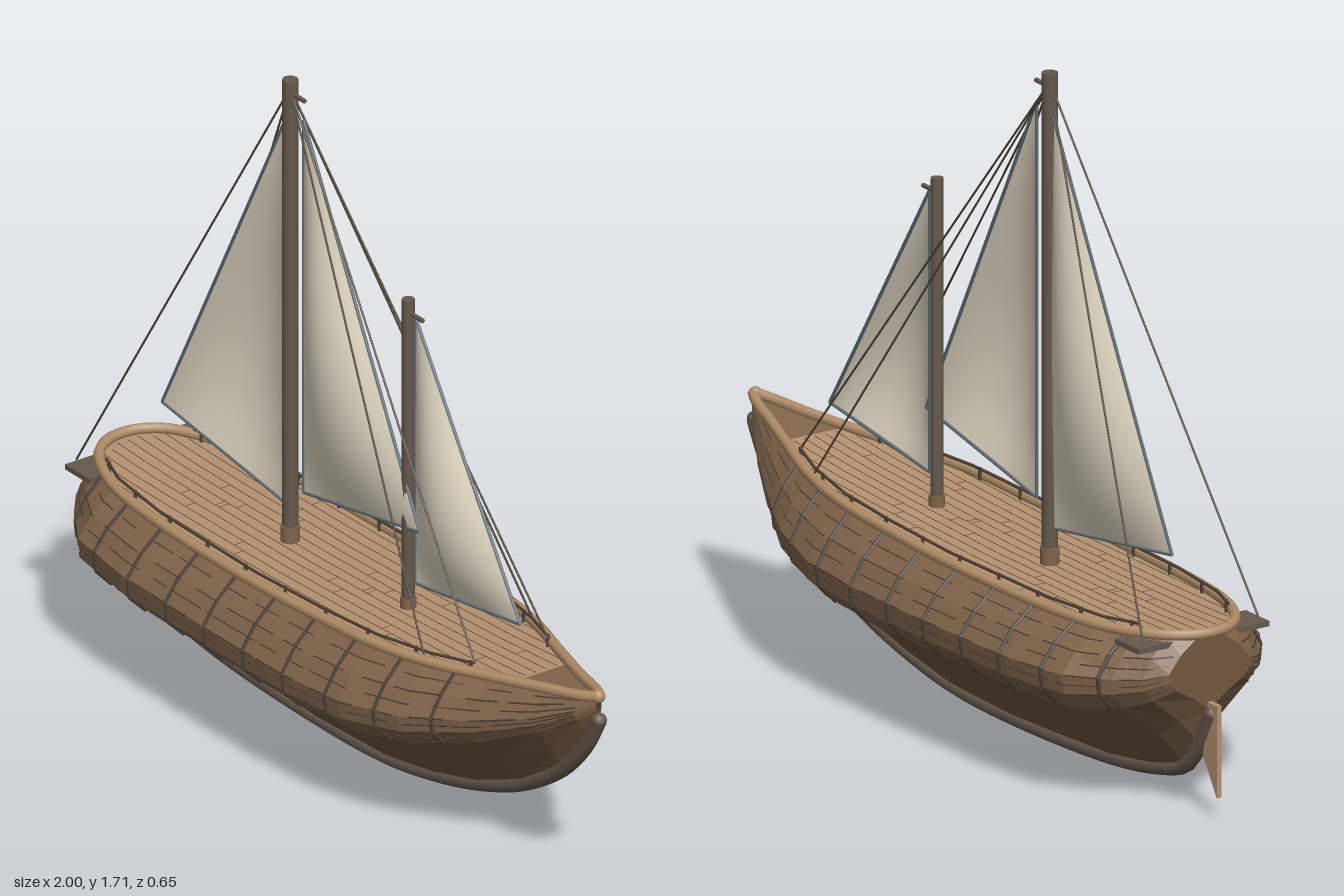
import * as THREE from 'three';
import { mergeGeometries } from 'three/addons/utils/BufferGeometryUtils.js';

const V = (x, y, z) => new THREE.Vector3(x, y, z);
const mat = (name, color, side = THREE.FrontSide) => {
  const m = new THREE.MeshStandardMaterial({ color, side });
  m.name = name;
  return m;
};

// Hull stations: x, keel y, colour line y, widest y, sheer y, widest half width, deck half width
const STATIONS = [
  [-0.96, 0.27, 0.335, 0.38, 0.465, 0.12, 0.03],
  [-0.92, 0.17, 0.305, 0.365, 0.465, 0.17, 0.10],
  [-0.86, 0.10, 0.28, 0.36, 0.463, 0.22, 0.14],
  [-0.75, 0.065, 0.255, 0.355, 0.46, 0.29, 0.18],
  [-0.55, 0.035, 0.25, 0.35, 0.46, 0.315, 0.205],
  [-0.15, 0.02, 0.25, 0.35, 0.465, 0.32, 0.215],
  [0.12, 0.03, 0.25, 0.35, 0.475, 0.315, 0.21],
  [0.32, 0.065, 0.26, 0.355, 0.485, 0.30, 0.20],
  [0.5, 0.115, 0.29, 0.375, 0.495, 0.255, 0.165],
  [0.68, 0.19, 0.345, 0.41, 0.51, 0.17, 0.105],
  [0.83, 0.29, 0.415, 0.455, 0.525, 0.095, 0.055],
  [0.93, 0.40, 0.475, 0.50, 0.537, 0.04, 0.025],
  [0.975, 0.48, 0.51, 0.525, 0.545, 0.008, 0.004],
];
const XS = STATIONS.map((s) => s[0]);

// Station values interpolated at any x
function station(x) {
  let i = 0;
  while (i < STATIONS.length - 2 && x > STATIONS[i + 1][0]) i++;
  const [a, b] = [STATIONS[i], STATIONS[i + 1]];
  const t = THREE.MathUtils.clamp((x - a[0]) / (b[0] - a[0]), 0, 1);
  return a.map((v, k) => v + (b[k] - v) * t);
}

// Point on the hull: v runs from 0 at the keel to 6 at the sheer
function hullPoint(x, v, side) {
  const [, k, line, m, s, w, top] = station(x);
  const p = [
    [0, k], [0.37 * w, k + 0.53 * (line - k)], [0.82 * w, line], [0.98 * w, (line + m) / 2],
    [w, m], [top + 0.62 * (w - top), (m + s) / 2], [top, s],
  ];
  const i = Math.min(5, Math.floor(v)), t = v - i;
  return V(x, p[i][1] + (p[i + 1][1] - p[i][1]) * t, side * (p[i][0] + (p[i + 1][0] - p[i][0]) * t));
}

// Surface through rows of points
function grid(rows, smooth = false, flip = false) {
  const n = rows[0].length, index = [];
  for (let i = 0; i < rows.length - 1; i++) for (let j = 0; j < n - 1; j++) {
    const a = i * n + j, b = a + n, c = b + 1, d = a + 1;
    index.push(...(flip ? [a, c, b, a, d, c] : [a, b, c, a, c, d]));
  }
  let g = new THREE.BufferGeometry().setFromPoints(rows.flat());
  g.setIndex(index);
  if (!smooth) g = g.toNonIndexed();
  g.computeVertexNormals();
  return g;
}

function rod(a, b, r, sides = 5) {
  const d = b.clone().sub(a);
  const g = new THREE.CylinderGeometry(r, r, d.length(), sides);
  g.applyQuaternion(new THREE.Quaternion().setFromUnitVectors(V(0, 1, 0), d.normalize()));
  return g.translate((a.x + b.x) / 2, (a.y + b.y) / 2, (a.z + b.z) / 2);
}
const rods = (pts, r, sides) => pts.slice(1).map((p, i) => rod(pts[i], p, r, sides));

// x values from a to b, including every station between them
const span = (a, b) => [a, ...XS.filter((x) => x > a + 0.002 && x < b - 0.002), b];

function seeded(seed) {
  return () => (seed = (seed * 16807) % 2147483647) / 2147483647;
}

export function createModel() {
  const ship = new THREE.Group();
  ship.name = 'sailingShip';
  const M = {
    plank: mat('plankBrown', 0x82654b, THREE.DoubleSide),
    lower: mat('lowerHullBrown', 0x735840, THREE.DoubleSide),
    deck: mat('deckWood', 0xb49270, THREE.DoubleSide),
    rail: mat('railWood', 0xb08d67),
    spar: mat('sparBrown', 0x66594d),
    dark: mat('darkTrim', 0x504337),
    sail: mat('sailCanvas', 0xe4dac5, THREE.DoubleSide),
    hem: mat('sailHem', 0x62727a),
  };
  const add = (name, g, m) => {
    const mesh = new THREE.Mesh(g, m);
    mesh.name = name;
    ship.add(mesh);
    return mesh;
  };

  // Hull shell, lower and planked halves, closed at the stern
  for (const [name, levels, m] of [['lowerHull', [0, 1, 2], M.lower], ['plankedHull', [2, 3, 4, 5, 6], M.plank]]) {
    const side = (s) => grid(XS.map((x) => levels.map((v) => hullPoint(x, v, s))), false, s < 0);
    add(name, mergeGeometries([side(1), side(-1)]), m);
  }
  add('stern', grid([-1, 1].map((s) => [0, 1, 2, 3, 4, 5, 6].map((v) => hullPoint(XS[0], v, s)))), M.lower);

  // Broken plank seams and upright ribs on the hull sides
  const rand = seeded(17), seams = [], ribs = [];
  for (const s of [1, -1]) {
    for (let v = 2; v < 5.9; v += 0.5) {
      let x = -0.95;
      while (x < 0.9) {
        const end = Math.min(0.93, x + 0.05 + rand() * 0.15);
        seams.push(...rods(span(x, end).map((q) => hullPoint(q, v, s)), 0.002, 4));
        x = end + 0.02 + rand() * 0.06;
      }
    }
    for (let i = 0; i < 10; i++) {
      const x = -0.83 + i * 0.157;
      ribs.push(...rods([2, 3, 4, 5, 5.9].map((v) => hullPoint(x, v, s)), 0.006));
    }
  }
  add('plankSeams', mergeGeometries(seams), M.dark);
  add('hullRibs', mergeGeometries(ribs), M.dark);

  // Keel and stem
  const keelPts = STATIONS.map((s) => V(s[0], s[1] + 0.002, 0));
  keelPts[0].set(-0.968, 0.26, 0);
  const keelCurve = new THREE.CatmullRomCurve3(keelPts, false, 'centripetal');
  add('keel', new THREE.TubeGeometry(keelCurve, 60, 0.02, 10), M.spar);
  for (const p of [keelPts[0], keelPts.at(-1)]) {
    add('keelEnd', new THREE.SphereGeometry(0.02, 10, 8).translate(p.x, p.y, p.z), M.spar);
  }

  // Deck with a darker foredeck
  const deckY = (x) => station(x)[4] - 0.006;
  const deckRows = (a, b) => span(a, b).map((x) => {
    const w = station(x)[6];
    return [V(x, deckY(x), w), V(x, deckY(x), -w)];
  });
  add('deck', grid(deckRows(-0.96, 0.73)), M.deck);
  add('foredeck', grid(deckRows(0.73, 0.975)), M.plank);

  // Deck seams and staggered plank ends
  const deckSeams = [];
  for (let k = -6; k <= 6; k++) {
    const z = k * 0.031;
    const fits = [];
    for (let x = -0.94; x <= 0.73; x += 0.02) if (station(x)[6] > Math.abs(z) + 0.006) fits.push(x);
    const [a, b] = [fits[0], fits.at(-1)];
    deckSeams.push(...rods(span(a, b).map((x) => V(x, deckY(x), z)), 0.0014, 4));
    for (let x = a + 0.2 + rand() * 0.4; x < b - 0.1; x += 0.6) {
      deckSeams.push(rod(V(x, deckY(x), z), V(x, deckY(x), z + (z > 0 ? -0.031 : 0.031)), 0.0014, 4));
    }
  }
  add('deckSeams', mergeGeometries(deckSeams), M.lower);

  // Gunwale around the stern to the bow
  const edge = STATIONS.slice(1).map((s) => V(s[0], s[4] + 0.003, s[6]));
  const railPts = [...edge.slice().reverse(), V(-0.955, 0.468, 0.05), V(-0.965, 0.468, 0),
    V(-0.955, 0.468, -0.05), ...edge.map((p) => V(p.x, p.y, -p.z))];
  const railCurve = new THREE.CatmullRomCurve3(railPts, false, 'centripetal');
  add('gunwale', new THREE.TubeGeometry(railCurve, 140, 0.014, 8), M.rail);
  add('bowCap', new THREE.SphereGeometry(0.018, 10, 8).translate(0.972, 0.547, 0), M.rail);

  // Thin handrails on short posts
  const handrail = [];
  for (const s of [1, -1]) {
    const at = (x, lift) => V(x, station(x)[4] + lift, s * (station(x)[6] - 0.012));
    handrail.push(...rods(span(-0.85, 0.62).map((x) => at(x, 0.022)), 0.004));
    for (let x = -0.83; x < 0.63; x += 0.16) handrail.push(rod(at(x, -0.01), at(x, 0.026), 0.005));
  }
  add('handrails', mergeGeometries(handrail), M.dark);

  // Stern platform below the deck, and rudder
  add('sternPlatform', new THREE.BoxGeometry(0.1, 0.014, 0.385).translate(-0.885, 0.446, 0), M.spar);
  const blade = new THREE.Shape([[-1, 0.055], [-0.94, 0.15], [-0.95, 0.2], [-0.955, 0.29], [-1, 0.29]]
    .map(([x, y]) => new THREE.Vector2(x, y)));
  add('rudder', new THREE.ExtrudeGeometry(blade, { depth: 0.014, bevelEnabled: false }).translate(0, 0, -0.007), M.deck);

  // Masts with foot collars and top pegs
  for (const [name, x, r, top] of [['mainMast', -0.28, 0.02, 1.71], ['foreMast', 0.2, 0.016, 1.31]]) {
    add(name, rod(V(x, 0.44, 0), V(x, top, 0), r, 12), M.spar);
    add(name + 'Collar', rod(V(x, 0.45, 0), V(x, 0.5, 0), r + 0.004, 12), M.plank);
    add(name + 'Peg', rod(V(x, top - 0.036, 0), V(x + 0.06, top - 0.036, 0), 0.006, 6), M.spar);
  }

  // Billowed triangular sails with dark hems
  const sails = [
    ['mainSail', V(-0.29, 1.61, 0), V(-0.29, 0.55, 0), V(-0.8, 0.62, 0), -0.058],
    ['staySail', V(-0.225, 1.62, 0), V(-0.225, 0.61, 0), V(0.262, 0.705, 0.012), 0.06],
    ['foreSail', V(0.23, 1.27, 0), V(0.23, 0.55, 0), V(0.655, 0.612, 0), 0.05],
  ];
  for (const [name, A, B, C, bulge] of sails) {
    const rows = [];
    for (let i = 0; i <= 16; i++) {
      const u = i / 16;
      rows.push(Array.from({ length: 17 }, (_, j) => {
        const t = j / 16, p = A.clone().lerp(B.clone().lerp(C, t), u);
        p.z += bulge * 27 * (1 - u) * u * (1 - t) * u * t;
        return p;
      }));
    }
    add(name, grid(rows, true), M.sail);
    add(name + 'Hem', mergeGeometries(rods([A, B, C, A], 0.0045)), M.hem);
  }

  // Stays from the main mast head
  const head = V(-0.28, 1.685, 0), stays = [];
  for (const s of [1, -1]) {
    for (const [x, y, z] of [[-0.92, 0.465, 0.17], [0.49, 0.5, 0.165], [0.62, 0.525, 0.11]]) {
      stays.push(rod(head, V(x, y, s * z), 0.0028));
    }
  }
  add('stays', mergeGeometries(stays), M.dark);

  return ship;
}
